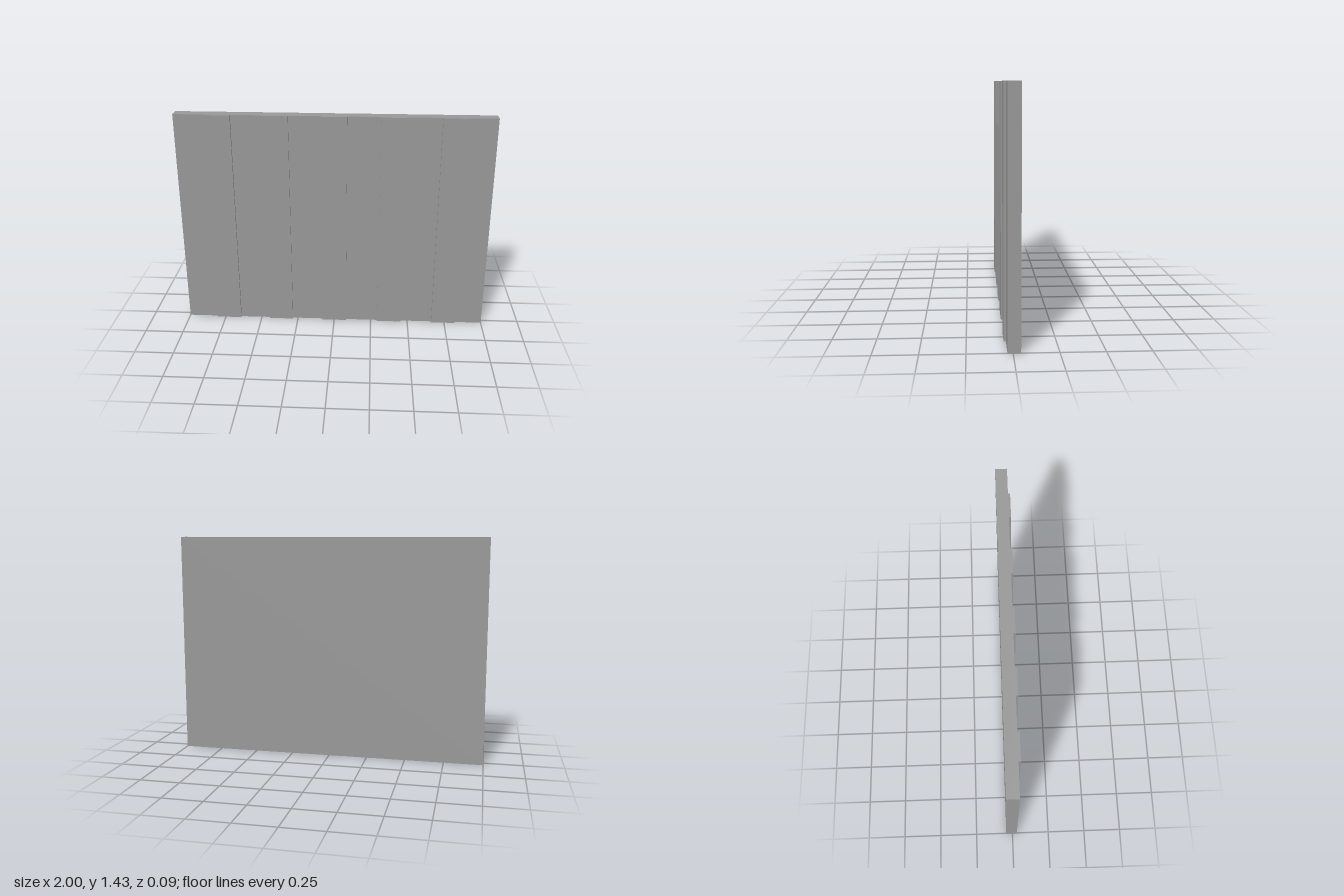
import * as THREE from 'three';

const HEIGHT = 1.43;
const BACK = -0.043, FACE = 0.03, RIB = 0.043; // z levels
// Left and right edges of each raised rib
const RIBS = [[-0.805, -0.642], [-0.444, -0.284], [-0.08, 0.08], [0.29, 0.454], [0.663, 0.823]];

export function createModel() {
  const group = new THREE.Group();
  group.name = 'ribbedPanel';

  // Plan outline of the panel, drawn with shape y = -z
  const plan = new THREE.Shape();
  plan.moveTo(-1, -BACK);
  plan.lineTo(-1, -FACE);
  for (const [a, b] of RIBS) {
    plan.lineTo(a, -FACE);
    plan.lineTo(a, -RIB);
    plan.lineTo(b, -RIB);
    plan.lineTo(b, -FACE);
  }
  plan.lineTo(1, -FACE);
  plan.lineTo(1, -BACK);
  plan.closePath();

  // Raise the outline to full height, standing on the ground
  const geometry = new THREE.ExtrudeGeometry(plan, { depth: HEIGHT, bevelEnabled: false });
  geometry.rotateX(-Math.PI / 2);

  const panel = new THREE.Mesh(geometry, new THREE.MeshStandardMaterial({ color: 0x9a9a9a }));
  panel.name = 'panelWithRibs';
  group.add(panel);
  return group;
}
